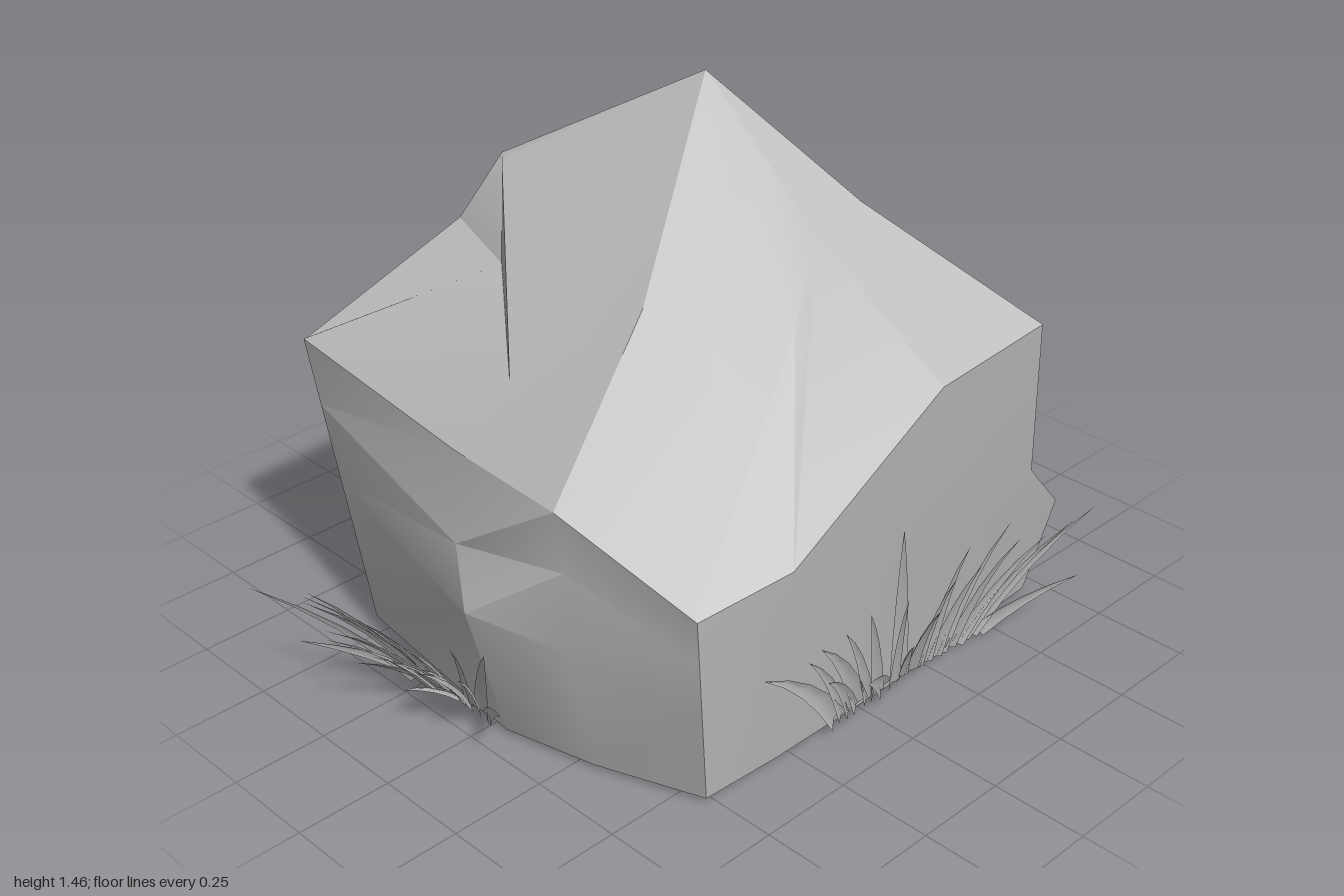
import * as THREE from 'three';
import { toCreasedNormals } from 'three/addons/utils/BufferGeometryUtils.js';

const stone = new THREE.MeshStandardMaterial({ color: 0xbcbcbc, side: THREE.DoubleSide });
stone.name = 'grey';

const V = (x, y, z) => new THREE.Vector3(x, y, z);
const PEAK = V(0.09, 1.45, -0.05);

// Outlines run from the back right corner round the +x side to the front
const FOOT = [[.79, -.55], [.785, -.4], [.77, 0], [.73, .3], [.69, .545], [.1, .58],
  [-.3, .58], [-.52, .57], [-.62, .3], [-.68, .05], [-.61, -.55], [-.6, -.55]].map(([x, z]) => V(x, 0, z));
const SHOULDER = [[.69, .72, -.77], [.8, .73, -.5], [.8, .81, -.18], [.58, .8, .28], [.46, .92, .7], [.1, .89, .7],
  [-.34, .58, .66], [-.59, .54, .61], [-.68, .7, .25], [-.65, .69, -.13], [-.61, .73, -.77], [-.6, .73, -.77]].map((p) => V(...p));
const SLOPE = [[.4, 1.13, -.48], [.64, .95, -.26], [.57, 1.01, -.1], [.42, 1.05, .24], [.26, 1.17, .3], [.08, 1.15, .32],
  [-.06, .98, .39], [-.2, .98, .26], [-.29, 1.02, .13], [-.5, .82, -.1], [-.28, .96, -.38], [-.26, 1.02, -.56]].map((p) => V(...p));

// Outline between two others, with a few corners chipped to their own place
const between = (a, b, t, chips) => a.map((p, i) => chips[i] ?? p.clone().lerp(b[i], t));

function boulderGeometry() {
  // Scooped front left corner and bulging sides
  const lip = between(FOOT, SHOULDER, 0.5, { 2: V(.88, .39, 0), 3: V(.83, .33, .17), 4: V(.74, .27, .59), 8: V(-.69, .35, .29), 9: V(-.77, .37, .03) });
  const scoop = between(FOOT, SHOULDER, 0.77, { 2: V(.875, .45, -.03), 3: V(.66, .47, .3), 4: V(.55, .46, .64), 9: V(-.73, .51, -.04) });
  // Broken ridge behind the peak
  const crown = between(SLOPE, SLOPE.map(() => PEAK), 0.5,
    { 0: V(.36, 1.21, -.3), 9: V(-.2, 1.185, -.46), 10: V(-.19, 1.2, -.47), 11: V(-.06, 1.3, -.24) });
  const rings = [FOOT, lip, scoop, SHOULDER, SLOPE, crown];
  const n = FOOT.length, top = (rings.length - 1) * n, bottom = rings.length * n;
  const index = [];
  for (let i = 0; i < n; i++) {
    const j = (i + 1) % n;
    for (let r = 0; r < top; r += n) {
      const a = r + i, b = r + j;
      index.push(b, a, a + n, b, a + n, b + n);
    }
    index.push(bottom, i, j, bottom + 1, top + j, top + i);
  }
  const g = new THREE.BufferGeometry().setFromPoints([...rings.flat(), V(0, 0, 0), PEAK]);
  g.setIndex(index);
  return toCreasedNormals(g, 0.4);
}

// One folded, pointed blade that bends from its root to its tip
function blade(root, tip, width, out) {
  const mid = root.clone().lerp(tip, 0.4);
  mid.y += tip.y * 0.2;
  const curve = new THREE.QuadraticBezierCurve3(root, mid, tip);
  const side = tip.clone().sub(root).cross(out).normalize().multiplyScalar(width / 2);
  const steps = 4, points = [], index = [];
  for (let s = 0; s <= steps; s++) {
    const t = s / steps, p = curve.getPoint(t);
    const w = 1.01 - t ** 1.4;
    points.push(p.clone().addScaledVector(side, -w), p.clone().addScaledVector(out, -0.25 * width * w),
      p.clone().addScaledVector(side, w));
    if (s < steps) {
      for (let a = s * 3; a < s * 3 + 2; a++) index.push(a, a + 1, a + 4, a, a + 4, a + 3);
    }
  }
  const g = new THREE.BufferGeometry().setFromPoints(points);
  g.setIndex(index);
  g.computeVertexNormals();
  const mesh = new THREE.Mesh(g, stone);
  mesh.name = 'grassBlade';
  return mesh;
}

function seeded(seed) {
  return () => (seed = (seed * 16807) % 2147483647) / 2147483647;
}

// Blades rooted from start to end, fanning sideways and reaching out; pairs give values at both ends
function tuft(name, { start, end, out, count, lean, reach, height, seed }) {
  const group = new THREE.Group();
  group.name = name;
  const random = seeded(seed);
  const along = end.clone().sub(start).normalize();
  for (let i = 0; i < count; i++) {
    const k = i / (count - 1);
    const root = start.clone().lerp(end, k);
    const tip = root.clone()
      .addScaledVector(along, THREE.MathUtils.lerp(...lean, k) * (0.55 + 0.45 * random()))
      .addScaledVector(out, THREE.MathUtils.lerp(...reach, k) * (0.6 + 0.4 * random()));
    tip.y = THREE.MathUtils.lerp(...height, i % 2 ? random() : 0.5 + 0.5 * random());
    group.add(blade(root, tip, 0.04 + 0.01 * (i % 3), out));
  }
  return group;
}

export function createModel() {
  const model = new THREE.Group();
  model.name = 'boulderWithGrass';

  const boulder = new THREE.Mesh(boulderGeometry(), stone);
  boulder.name = 'boulder';
  model.add(boulder);

  const front = tuft('frontGrass', {
    start: V(-.08, .015, .6), end: V(.44, .015, .6), out: V(0, 0, 1),
    count: 18, lean: [-.4, .32], reach: [.1, .16], height: [.14, .42], seed: 11,
  });
  front.add(blade(V(.12, .015, .6), V(0, .55, .69), 0.07, V(0, 0, 1)));
  front.add(blade(V(-.1, .015, .6), V(-.44, .34, .67), 0.06, V(0, 0, 1)));
  model.add(front);

  const right = tuft('rightGrass', {
    start: V(-.7, .015, -.3), end: V(-.7, .015, 0), out: V(-1, 0, 0),
    count: 16, lean: [-.27, .22], reach: [.3, .13], height: [.1, .32], seed: 23,
  });
  right.add(blade(V(-.72, .015, -.25), V(-1, .29, -.51), 0.05, V(-1, 0, 0)));
  right.add(blade(V(-.72, .015, -.18), V(-.99, .28, -.22), 0.05, V(-1, 0, 0)));
  model.add(right);

  const left = tuft('leftGrass', {
    start: V(.84, .015, -.14), end: V(.84, .015, .06), out: V(1, 0, 0),
    count: 14, lean: [-.22, .14], reach: [.15, .12], height: [.08, .28], seed: 37,
  });
  left.add(blade(V(.86, .015, -.12), V(1, .31, -.29), 0.05, V(1, 0, 0)));
  model.add(left);
  return model;
}
